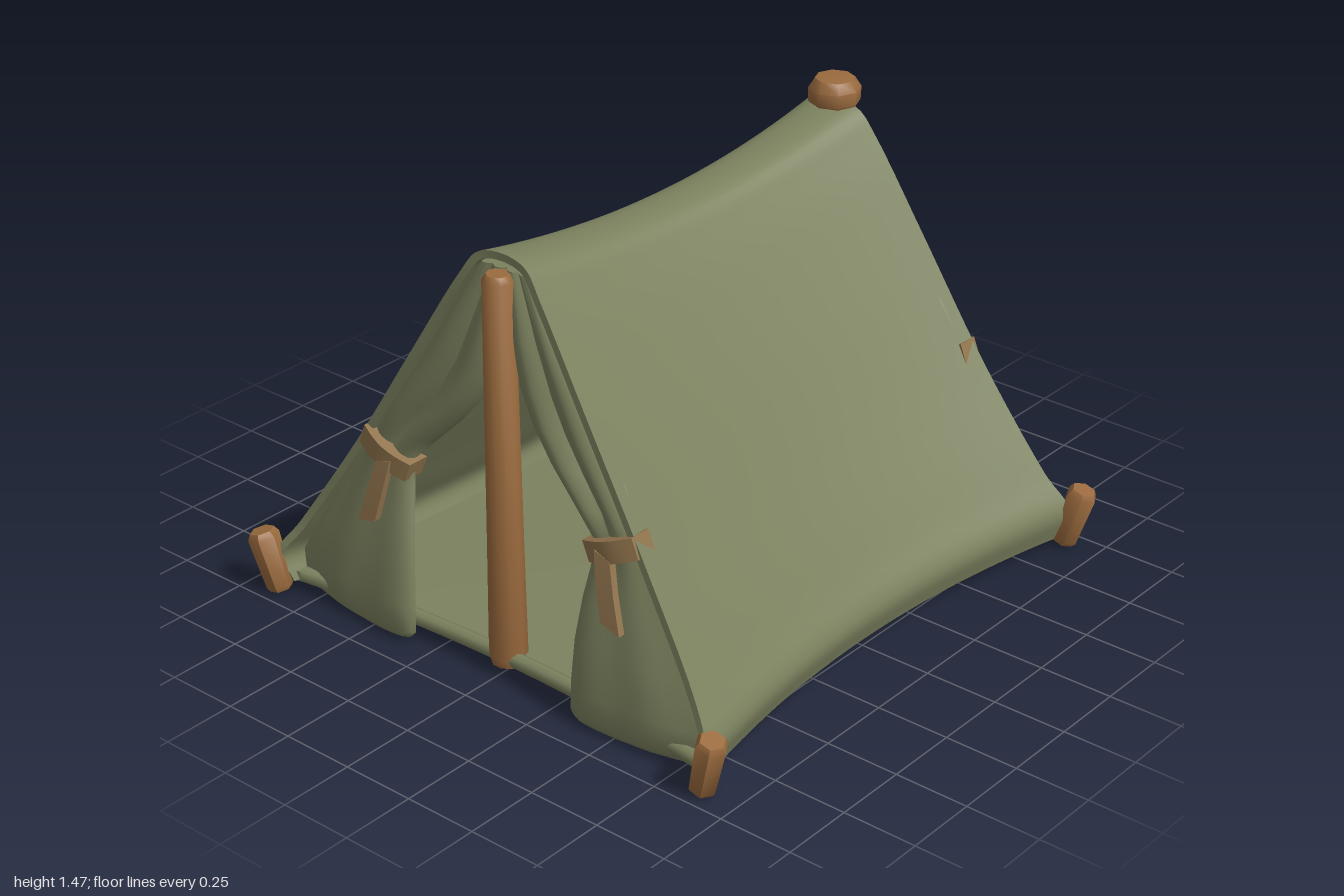
import * as THREE from 'three';
import { toCreasedNormals } from 'three/addons/utils/BufferGeometryUtils.js';

const material = (name, color) => {
  const m = new THREE.MeshStandardMaterial({ color });
  m.name = name;
  return m;
};

// Closed loft through rings that run out along one face and back along the other
function loft(rings, crease = 0.8) {
  const n = rings[0].length, last = rings.length - 1;
  const idx = [];
  for (let i = 0; i < last; i++) for (let j = 0; j < n; j++) {
    const a = i * n + j, b = i * n + (j + 1) % n, c = a + n, d = b + n;
    idx.push(a, c, b, b, c, d);
  }
  // End caps join each outgoing point to its returning partner
  for (let j = 0; j < n / 2 - 1; j++) {
    const k = n - 1 - j, o = last * n;
    idx.push(j, j + 1, k, j + 1, k - 1, k);
    idx.push(o + j, o + k, o + j + 1, o + j + 1, o + k, o + k - 1);
  }
  const pts = rings.flat();
  // Turn the surface outwards when its signed volume is negative
  let volume = 0;
  for (let i = 0; i < idx.length; i += 3) {
    volume += pts[idx[i]].dot(pts[idx[i + 1]].clone().cross(pts[idx[i + 2]]));
  }
  if (volume < 0) idx.reverse();
  const g = new THREE.BufferGeometry().setFromPoints(pts);
  g.setIndex(idx);
  return toCreasedNormals(g, crease);
}

// Copy reflected by the signs sx and sz, with winding kept outward
function mirrored(geometry, sx, sz) {
  const g = geometry.index ? geometry.toNonIndexed() : geometry.clone();
  g.scale(sx, 1, sz);
  if (sx * sz < 0) {
    for (const a of Object.values(g.attributes)) {
      const s = a.itemSize;
      for (let t = 0; t < a.count; t += 3) for (let k = 0; k < s; k++) {
        const p = (t + 1) * s + k, q = (t + 2) * s + k;
        [a.array[p], a.array[q]] = [a.array[q], a.array[p]];
      }
    }
  }
  return g;
}

// Turned wooden piece from radius/height pairs
function turned(profile, sides) {
  const g = new THREE.LatheGeometry(profile.map(p => new THREE.Vector2(...p)), sides);
  g.deleteAttribute('normal');
  g.deleteAttribute('uv');
  return toCreasedNormals(g, 0.85);
}

// Sagging roof sheet: profile points are half length, height, depth
function roofGeometry() {
  const half = [[0.905, 0.03, 0.865], [0.93, 0.13, 0.895], [0.89, 0.26, 0.815], [0.845, 0.6, 0.592],
    [0.82, 1.0, 0.345], [0.8, 1.3, 0.158], [0.79, 1.38, 0.095]];
  const profile = [...half, [0.785, 1.4, 0], ...half.slice().reverse().map(([x, y, z]) => [x, y, -z])];
  const curve = new THREE.CatmullRomCurve3(profile.map(p => new THREE.Vector3(...p)), false, 'centripetal');
  const outer = [], inner = [];
  for (let i = 0; i <= 64; i++) {
    const p = curve.getPoint(i / 64), t = curve.getTangent(i / 64);
    const len = Math.hypot(t.y, t.z);
    outer.push(p);
    inner.unshift(new THREE.Vector3(p.x, Math.max(0.03, p.y + t.z / len * 0.025), p.z - t.y / len * 0.025));
  }
  const rings = [];
  for (let i = 0; i <= 24; i++) {
    const s = i / 12 - 1, sag = 1 - s * s;
    rings.push([...outer, ...inner].map(p => new THREE.Vector3(
      p.x * s, p.y - 0.078 * sag * (p.y / 1.4) ** 2, p.z * (1 - 0.125 * sag))));
  }
  return loft(rings);
}

// Tied-back door curtain, rolled above the tie and hanging smooth below it
function flapGeometry() {
  // height, inner z, outer z, inner x, outer x, thickness
  const rows = [
    [1.35, 0.0, 0.1, 0.765, 0.765, 0.02], [1.15, 0.02, 0.235, 0.775, 0.775, 0.035],
    [1.0, 0.05, 0.33, 0.78, 0.78, 0.04], [0.9, 0.1, 0.395, 0.785, 0.785, 0.045],
    [0.8, 0.18, 0.46, 0.795, 0.79, 0.045], [0.7, 0.28, 0.52, 0.805, 0.8, 0.04],
    [0.61, 0.37, 0.575, 0.815, 0.81, 0.03], [0.53, 0.365, 0.625, 0.825, 0.815, 0.03],
    [0.42, 0.35, 0.69, 0.85, 0.82, 0.035], [0.28, 0.335, 0.77, 0.872, 0.835, 0.04],
    [0.13, 0.328, 0.85, 0.885, 0.845, 0.045], [0.03, 0.328, 0.84, 0.888, 0.85, 0.042],
    [0.01, 0.345, 0.82, 0.888, 0.85, 0.025]];
  const n = 20;
  const rings = rows.map(([y, zi, zo, xi, xo, th]) => {
    const front = [], back = [];
    for (let i = 0; i <= n; i++) {
      const a = i / n, z = zi + (zo - zi) * a, x = xi + (xo - xi) * a;
      const round = Math.sqrt(Math.sin(Math.PI * a) + 1e-6);
      const bulge = y > 0.65
        ? th * (0.35 * round + 0.65 * Math.abs(Math.sin(2 * Math.PI * a)))
        : th * (round * (1.05 - 0.35 * a) + 0.08 * Math.sin(4 * Math.PI * a));
      const drop = y < 0.1 ? 0.02 * Math.abs(a - 0.35) : 0;
      front.push(new THREE.Vector3(x + bulge, y + drop, z));
      back.unshift(new THREE.Vector3(x - 0.012 - th * 0.5 * round, y + drop, z));
    }
    return [...front, ...back];
  });
  return loft(rings, 1.0);
}

// Strap that bows around the curtain
function strapGeometry() {
  const g = new THREE.BoxGeometry(0.075, 0.07, 0.205, 1, 1, 8);
  const p = g.attributes.position;
  for (let i = 0; i < p.count; i++) {
    p.setX(i, p.getX(i) + 0.022 * Math.cos(p.getZ(i) / 0.1025 * Math.PI / 2));
  }
  g.computeVertexNormals();
  g.rotateX(-0.38);
  g.translate(0.812, 0.615, 0.458);
  return g;
}

// Loose strap end, widening downward
function tailGeometry() {
  const rows = [[0.6, 0.445, 0.86, 0.03], [0.5, 0.468, 0.877, 0.034], [0.385, 0.498, 0.89, 0.037]];
  return loft(rows.map(([y, z, x, w]) => [[0.012, -w], [0.012, w], [-0.012, w], [-0.012, -w]]
    .map(([dx, dz]) => new THREE.Vector3(x + dx, y - dz * 0.3, z + dz))), 0.5);
}

// Groundsheet with inward-bowed edges
function floorGeometry() {
  const s = new THREE.Shape();
  s.moveTo(-0.89, -0.85);
  s.quadraticCurveTo(0, -0.66, 0.89, -0.85);
  s.quadraticCurveTo(0.74, 0, 0.89, 0.85);
  s.quadraticCurveTo(0, 0.66, -0.89, 0.85);
  s.quadraticCurveTo(-0.74, 0, -0.89, -0.85);
  const g = new THREE.ExtrudeGeometry(s, { depth: 0.035, bevelEnabled: false, curveSegments: 16 });
  g.rotateX(-Math.PI / 2);
  g.translate(0, 0.032, 0);
  return g;
}

export function createModel() {
  const canvas = material('canvas green', 0x7c825f);
  const wood = material('wood brown', 0x9b6b3e);
  const strap = material('strap tan', 0x92754e);
  const tent = new THREE.Group();
  tent.name = 'tent';
  const add = (name, geometry, mat) => {
    const mesh = new THREE.Mesh(geometry, mat);
    mesh.name = name;
    tent.add(mesh);
    return mesh;
  };

  add('roof', roofGeometry(), canvas);
  add('groundsheet', floorGeometry(), canvas);

  // Shared shapes for the four corners
  const flap = flapGeometry(), band = strapGeometry(), tail = tailGeometry();
  const stake = turned([[0, -0.105], [0.036, -0.105], [0.045, -0.09], [0.052, 0.085], [0.04, 0.105], [0, 0.105]], 6);
  stake.rotateX(0.26);
  stake.rotateZ(-0.1);
  stake.translate(0.942, 0.113, 0.902);

  for (const sx of [1, -1]) {
    const side = sx > 0 ? 'left' : 'right';
    // Rolled hem across the doorway
    const hem = new THREE.QuadraticBezierCurve3(new THREE.Vector3(sx * 0.88, 0.061, -0.82),
      new THREE.Vector3(sx * 0.765, 0.061, 0), new THREE.Vector3(sx * 0.88, 0.061, 0.82));
    add(side + 'DoorHem', new THREE.TubeGeometry(hem, 20, 0.026, 8), canvas);
    for (const sz of [1, -1]) {
      const where = side + (sz > 0 ? 'Front' : 'Back');
      add(where + 'Curtain', mirrored(flap, sx, sz), canvas);
      add(where + 'Strap', mirrored(band, sx, sz), strap);
      add(where + 'StrapTail', mirrored(tail, sx, sz), strap);
      add(where + 'Stake', mirrored(stake, sx, sz), wood);
    }
  }

  // Upright poles; only one carries a knob
  const pole = top => turned([[0, 0.035], [0.055, 0.035], [0.061, 0.06], [0.056, 0.5], [0.049, top - 0.02], [0.036, top], [0, top]], 10);
  add('leftPole', pole(1.4), wood).position.x = 0.782;
  add('rightPole', pole(1.345), wood).position.x = -0.805;
  add('poleKnob', turned([[0, 1.355], [0.062, 1.36], [0.085, 1.39], [0.087, 1.435], [0.066, 1.468], [0, 1.475]], 8), wood)
    .position.x = 0.785;

  return tent;
}
